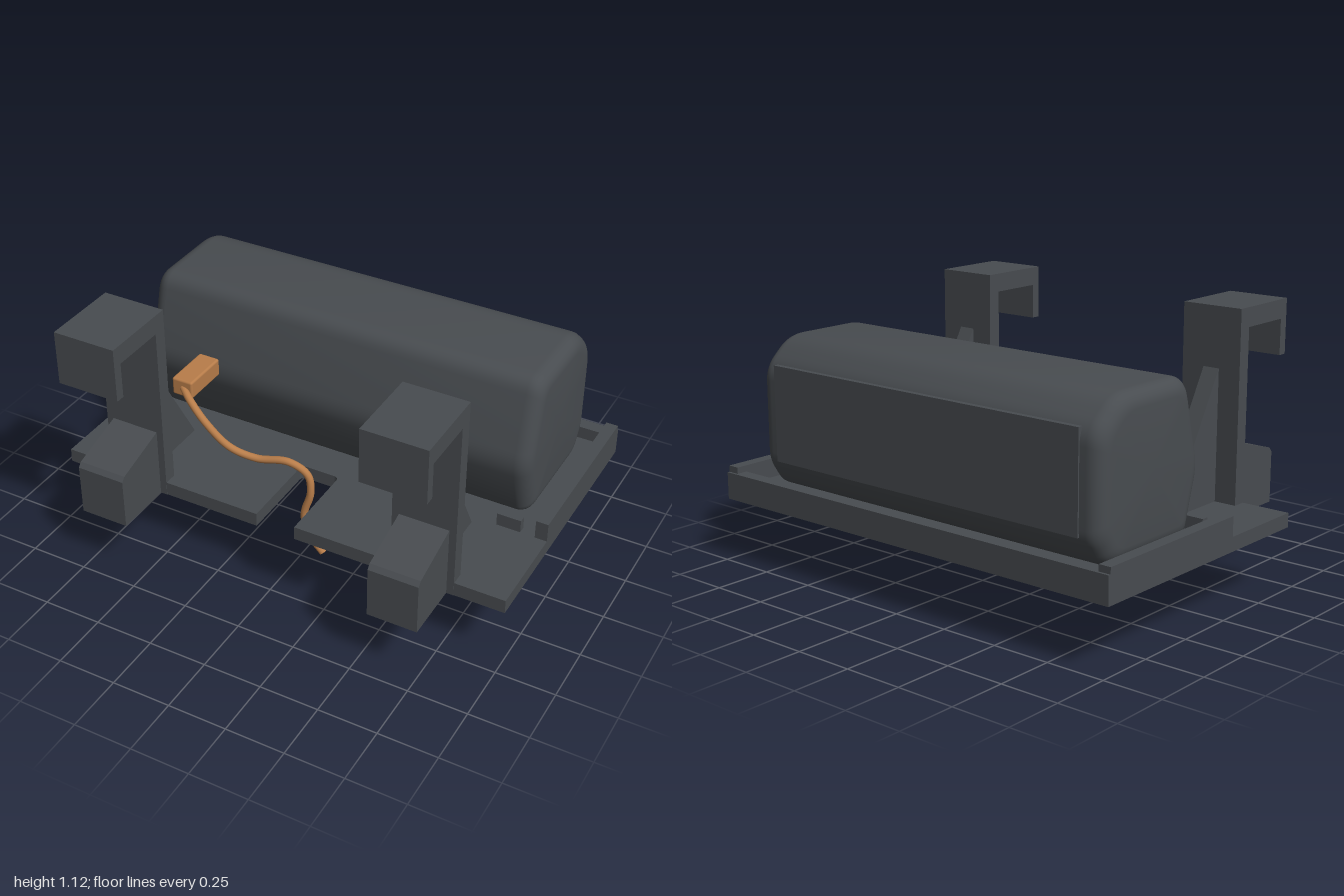
import * as THREE from 'three';
import { toCreasedNormals } from 'three/addons/utils/BufferGeometryUtils.js';
import { RoundedBoxGeometry } from 'three/addons/geometries/RoundedBoxGeometry.js';

const grey = new THREE.MeshStandardMaterial({ color: 0x484c50 });
grey.name = 'darkGrey';
const copper = new THREE.MeshStandardMaterial({ color: 0xb87d4a });
copper.name = 'copper';

function part(parent, name, geometry, material = grey) {
  const mesh = new THREE.Mesh(geometry, material);
  mesh.name = name;
  parent.add(mesh);
  return mesh;
}

// Box given by its limits on each axis
function box(x0, x1, y0, y1, z0, z1) {
  return new THREE.BoxGeometry(x1 - x0, y1 - y0, z1 - z0)
    .translate((x0 + x1) / 2, (y0 + y1) / 2, (z0 + z1) / 2);
}

// Side profile of [z, y] points, extruded from x0 to x1
function sideProfile(points, x0, x1) {
  const shape = new THREE.Shape(points.map(([z, y]) => new THREE.Vector2(z, y)));
  return new THREE.ExtrudeGeometry(shape, { depth: x1 - x0, bevelEnabled: false })
    .rotateY(-Math.PI / 2).translate(x1, 0, 0);
}

// Polygon of [z, y, cornerCut] with softened corners
function softOutline(corners) {
  const pts = [];
  corners.forEach(([z, y, r], i) => {
    const n = corners.length;
    const p = new THREE.Vector2(z, y);
    const toward = (c) => new THREE.Vector2(c[0], c[1]).sub(p).setLength(r).add(p);
    const start = toward(corners[(i + n - 1) % n]);
    const end = toward(corners[(i + 1) % n]);
    pts.push(...new THREE.QuadraticBezierCurve(start, p, end).getPoints(6));
  });
  return pts;
}

// Loft of one outline along x, with rounded ends
function roundedLoft(outline, half, radius, cz, cy, size) {
  const rings = [];
  const steps = 6;
  for (let i = 0; i <= steps; i++) {
    const a = (i / steps) * Math.PI / 2;
    rings.push([-half + radius * (1 - Math.sin(a)), 1 - radius * (1 - Math.cos(Math.PI / 2 - a)) / size]);
  }
  rings.reverse();
  rings.forEach((r) => { r[1] = 1; });
  rings.length = 0;
  for (let i = 0; i <= steps; i++) {
    const a = (i / steps) * Math.PI / 2;
    rings.push([-half + radius * (1 - Math.cos(a)), 1 - radius * (1 - Math.sin(a)) / size]);
  }
  for (let i = steps; i >= 0; i--) rings.push([-rings[i][0], rings[i][1]]);
  const n = outline.length;
  const pos = [];
  const index = [];
  for (const [x, s] of rings) {
    for (const p of outline) pos.push(x, cy + (p.y - cy) * s, cz + (p.x - cz) * s);
  }
  for (let i = 0; i < rings.length - 1; i++) {
    for (let j = 0; j < n; j++) {
      const a = i * n + j, b = i * n + (j + 1) % n;
      index.push(a, a + n, b, b, a + n, b + n);
    }
  }
  const centre = pos.length / 3;
  const last = (rings.length - 1) * n;
  pos.push(-half, cy, cz, half, cy, cz);
  for (let j = 0; j < n; j++) {
    const k = (j + 1) % n;
    index.push(centre, j, k, centre + 1, last + k, last + j);
  }
  const geometry = new THREE.BufferGeometry();
  geometry.setAttribute('position', new THREE.Float32BufferAttribute(pos, 3));
  geometry.setIndex(index);
  return toCreasedNormals(geometry, 0.6);
}

// Flat tray floor with a round-cornered cable notch
function trayFloor() {
  const s = new THREE.Shape();
  s.moveTo(-1, -0.725);
  s.lineTo(1, -0.725);
  s.lineTo(1, 0.448);
  s.lineTo(0.087, 0.448);
  s.lineTo(0.087, 0.1);
  s.quadraticCurveTo(0.087, 0.077, 0.064, 0.077);
  s.lineTo(-0.064, 0.077);
  s.quadraticCurveTo(-0.087, 0.077, -0.087, 0.1);
  s.lineTo(-0.087, 0.448);
  s.lineTo(-1, 0.448);
  return new THREE.ExtrudeGeometry(s, { depth: 0.06, bevelEnabled: false, curveSegments: 5 })
    .rotateX(Math.PI / 2).translate(0, 0.33, 0);
}

export function createModel() {
  const model = new THREE.Group();
  model.name = 'batteryTray';

  // Tray
  part(model, 'trayFloor', trayFloor());
  part(model, 'backWall', box(-1, 1, 0.27, 0.385, -0.726, -0.668));

  for (const side of [-1, 1]) {
    const label = side > 0 ? 'left' : 'right';
    const span = (a, b) => (side > 0 ? [a, b] : [-b, -a]);
    part(model, label + 'Rail', box(...span(0.948, 1), 0.27, 0.412, -0.715, 0.048));
    part(model, label + 'Clip', box(...span(0.782, 0.885), 0.32, 0.385, 0.014, 0.045));

    // Hook bracket with its stop block and gusset
    const bracket = new THREE.Group();
    bracket.name = label + 'Bracket';
    model.add(bracket);
    part(bracket, 'hook', sideProfile([
      [0.391, 0.27], [0.45, 0.27], [0.45, 1.05], [0.686, 1.05],
      [0.686, 0.9], [0.726, 0.9], [0.726, 1.13], [0.391, 1.13],
    ], ...span(0.517, 0.787)));
    part(bracket, 'stopBlock', sideProfile([
      [0.44, 0.27], [0.703, 0.27], [0.703, 0.488], [0.686, 0.507], [0.45, 0.575], [0.44, 0.575],
    ], ...span(0.547, 0.757)));
    part(bracket, 'gusset', sideProfile([
      [0.075, 0.325], [0.4, 0.325], [0.4, 0.88], [0.391, 0.88],
    ], ...span(0.617, 0.69)));
  }

  // Battery pack: faceted soft body with a raised back panel
  const outline = softOutline([
    [-0.07, 0.33, 0.03], [0.008, 0.6, 0.06], [-0.085, 0.96, 0.065],
    [-0.5, 0.96, 0.07], [-0.627, 0.845, 0.06], [-0.627, 0.44, 0.04], [-0.56, 0.33, 0.05],
  ]);
  part(model, 'batteryPack', roundedLoft(outline, 0.883, 0.065, -0.31, 0.645, 0.315));
  part(model, 'backPanel', box(-0.79, 0.79, 0.45, 0.855, -0.633, -0.61));

  // Plug and cable
  part(model, 'plug', new RoundedBoxGeometry(0.097, 0.08, 0.215, 2, 0.01)
    .translate(-0.57, 0.645, 0.113), copper);
  const path = new THREE.CatmullRomCurve3([
    [-0.57, 0.645, 0.21], [-0.52, 0.622, 0.244], [-0.43, 0.55, 0.268], [-0.33, 0.452, 0.25],
    [-0.22, 0.415, 0.222], [-0.08, 0.43, 0.198], [0, 0.385, 0.185], [0.016, 0.3, 0.188],
    [-0.01, 0.19, 0.195], [0.008, 0.1, 0.199], [0.08, 0.018, 0.2],
  ].map((p) => new THREE.Vector3(...p)));
  part(model, 'cable', new THREE.TubeGeometry(path, 80, 0.016, 12), copper);
  const tip = part(model, 'cableEnd', new THREE.CircleGeometry(0.016, 12), copper);
  tip.position.copy(path.getPoint(1));
  tip.lookAt(path.getPoint(1).add(path.getTangent(1)));

  return model;
}
